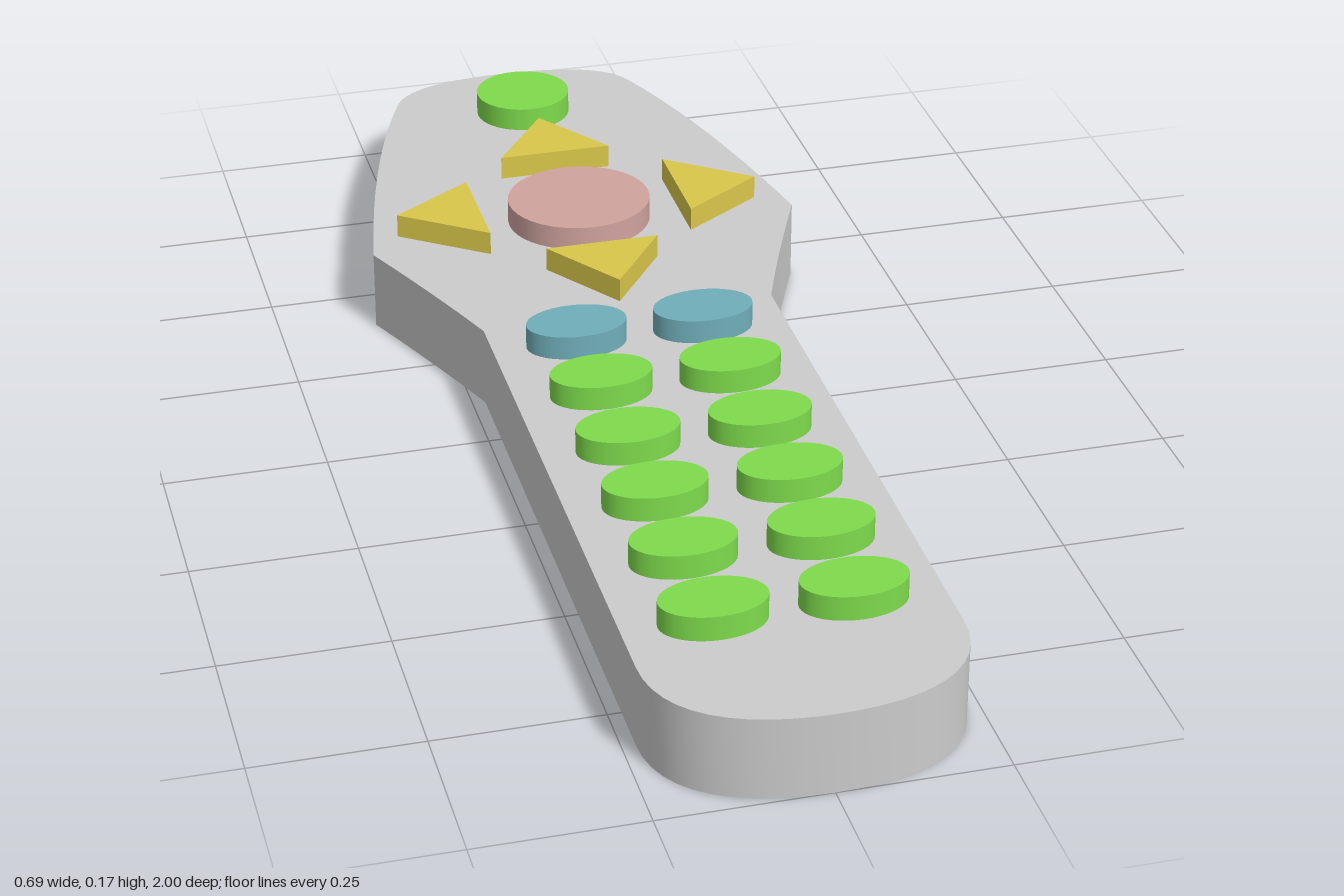
import * as THREE from 'three';
import { toCreasedNormals } from 'three/addons/utils/BufferGeometryUtils.js';

const BODY_TOP = 0.127, BUTTON_TOP = 0.165;
const material = (color) => new THREE.MeshStandardMaterial({ color });

// Upright plate from an outline drawn in (x, -z)
function plate(shape, y0, y1) {
  const geo = new THREE.ExtrudeGeometry(shape, { depth: y1 - y0, bevelEnabled: false, curveSegments: 12 });
  geo.rotateX(-Math.PI / 2).translate(0, y0, 0);
  return toCreasedNormals(geo, 0.35);
}

// Body outline: rounded ends, wide head, narrow handle
function bodyShape() {
  const s = new THREE.Shape();
  s.moveTo(0, 1);
  s.bezierCurveTo(0.09, 1, 0.17, 0.985, 0.2, 0.93);
  s.quadraticCurveTo(0.285, 0.74, 0.347, 0.4);
  s.quadraticCurveTo(0.28, 0.25, 0.23, 0.115);
  s.lineTo(0.23, -0.83);
  s.bezierCurveTo(0.23, -0.95, 0.13, -1, 0, -1);
  s.bezierCurveTo(-0.13, -1, -0.23, -0.95, -0.23, -0.83);
  s.lineTo(-0.23, 0.115);
  s.quadraticCurveTo(-0.28, 0.25, -0.347, 0.4);
  s.quadraticCurveTo(-0.285, 0.74, -0.2, 0.93);
  s.bezierCurveTo(-0.17, 0.985, -0.09, 1, 0, 1);
  return s;
}

export function createModel() {
  const group = new THREE.Group();
  const add = (name, geo, mat) => {
    const mesh = new THREE.Mesh(geo, mat);
    mesh.name = name;
    group.add(mesh);
    return mesh;
  };
  const green = material(0x7edb4c), yellow = material(0xd9c74a);
  const pink = material(0xd0a39e), blue = material(0x70aeba);

  add('body', plate(bodyShape(), 0, BODY_TOP), material(0xcccccc));

  // Round and oval buttons
  const disc = new THREE.CylinderGeometry(1, 1, BUTTON_TOP - BODY_TOP, 40);
  const button = (name, x, z, rx, rz, mat) => {
    const mesh = add(name, disc, mat);
    mesh.position.set(x, (BODY_TOP + BUTTON_TOP) / 2, z);
    mesh.scale.set(rx, 1, rz);
  };
  button('powerButton', 0, -0.85, 0.078, 0.075, green);
  button('selectButton', 0, -0.443, 0.115, 0.108, pink);
  [-0.045, 0.112, 0.275, 0.432, 0.588, 0.745].forEach((z, row) => {
    for (const x of [-0.1, 0.1]) {
      button(row ? 'keypadButton' : 'functionButton', x, z, 0.078, 0.05, row ? green : blue);
    }
  });

  // Triangular arrow buttons around the select button, corners as (x, z)
  const arrows = {
    upArrow: [[0.003, -0.74], [-0.091, -0.61], [0.091, -0.61]],
    downArrow: [[-0.004, -0.155], [0.09, -0.284], [-0.091, -0.284]],
    leftArrow: [[-0.297, -0.453], [-0.165, -0.357], [-0.165, -0.54]],
    rightArrow: [[0.295, -0.442], [0.165, -0.54], [0.165, -0.357]],
  };
  for (const [name, corners] of Object.entries(arrows)) {
    const shape = new THREE.Shape(corners.map(([x, z]) => new THREE.Vector2(x, -z)));
    add(name, plate(shape, BODY_TOP, BUTTON_TOP), yellow);
  }
  return group;
}
